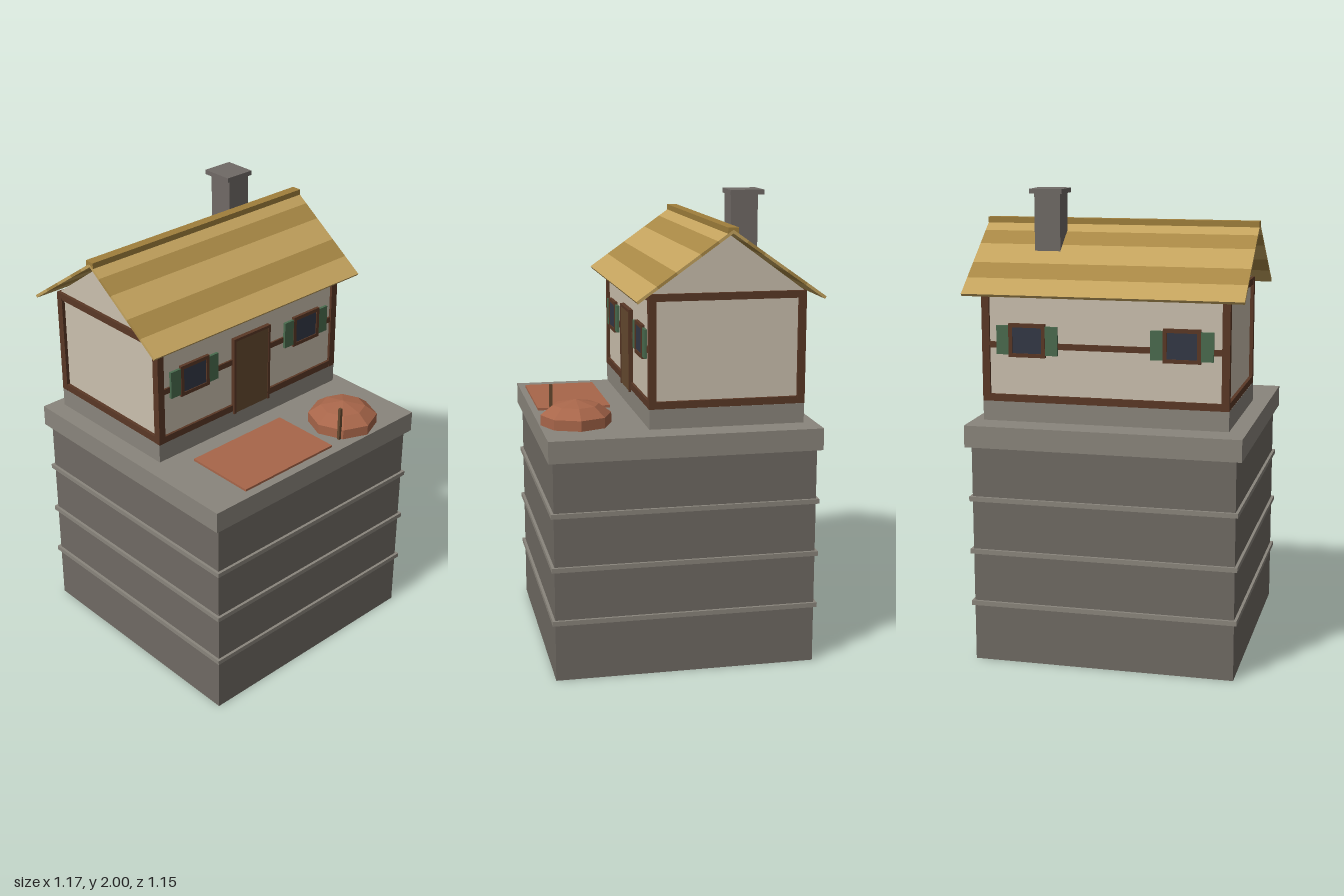
import * as THREE from 'three';

const mat = (color) => new THREE.MeshStandardMaterial({ color, flatShading: true });
const M = {
  stone: mat(0x6f6a63), trim: mat(0x8a857c), plaster: mat(0xcbc0ae), wood: mat(0x5a3826),
  door: mat(0x65492f), glass: mat(0x333846), shutter: mat(0x4a6b4e), straw: mat(0xc4a35e),
  strawDark: mat(0xa88845), ridge: mat(0xa07f3c), clay: mat(0xa8664a), chimney: mat(0x706a66),
};

// Box given by its limits on each axis
function box(parent, name, m, x0, x1, y0, y1, z0, z1) {
  const mesh = new THREE.Mesh(new THREE.BoxGeometry(x1 - x0, y1 - y0, z1 - z0), m);
  mesh.position.set((x0 + x1) / 2, (y0 + y1) / 2, (z0 + z1) / 2);
  mesh.name = name;
  parent.add(mesh);
  return mesh;
}

function group(parent, name) {
  const g = new THREE.Group();
  g.name = name;
  parent.add(g);
  return g;
}

function buildTower(root) {
  const tower = group(root, 'tower');
  box(tower, 'towerBody', M.stone, -0.56, 0.56, 0, 0.94, -0.555, 0.555);
  for (const y of [0.255, 0.485, 0.715])
    box(tower, 'stoneBand', M.trim, -0.572, 0.572, y - 0.01, y + 0.01, -0.567, 0.567);
  box(tower, 'terrace', M.trim, -0.585, 0.585, 0.94, 1.033, -0.575, 0.575);
}

// Window with frame, glass and two shutters, facing +z at the origin
function buildWindow() {
  const w = new THREE.Group();
  w.name = 'window';
  box(w, 'glass', M.glass, -0.065, 0.065, -0.06, 0.06, 0, 0.01);
  for (const s of [-1, 1]) {
    box(w, 'frameRail', M.wood, -0.078, 0.078, s * 0.062 - 0.008, s * 0.062 + 0.008, 0, 0.014);
    box(w, 'frameStile', M.wood, s * 0.07 - 0.008, s * 0.07 + 0.008, -0.07, 0.07, 0, 0.014);
    box(w, 'shutter', M.shutter, s * 0.104 - 0.026, s * 0.104 + 0.026, -0.06, 0.06, 0, 0.012);
  }
  return w;
}

// House is built around its own z = 0, then moved back on the terrace
function buildHouse(root) {
  const house = group(root, 'house');
  house.position.z = -0.178;
  box(house, 'foundation', M.trim, -0.52, 0.52, 1.047, 1.13, -0.328, 0.328);
  box(house, 'walls', M.plaster, -0.505, 0.505, 1.13, 1.6, -0.318, 0.318);

  // Gable prism along x
  const tri = new THREE.Shape([[-0.325, 1.6], [0.325, 1.6], [0, 1.838]].map((p) => new THREE.Vector2(...p)));
  const gable = new THREE.Mesh(new THREE.ExtrudeGeometry(tri, { depth: 1.01, bevelEnabled: false }), M.plaster);
  gable.rotation.y = Math.PI / 2;
  gable.position.x = -0.505;
  gable.name = 'gable';
  house.add(gable);

  // Timber frame
  const rails = [[1.13, 1.16], [1.572, 1.602]];
  for (const s of [-1, 1]) {
    for (const t of [-1, 1])
      box(house, 'cornerPost', M.wood, s * 0.504 - 0.016, s * 0.504 + 0.016, 1.13, 1.602, t * 0.314 - 0.016, t * 0.314 + 0.016);
    for (const [y0, y1] of rails) {
      box(house, 'longBeam', M.wood, -0.49, 0.49, y0, y1, s * 0.314 - 0.015, s * 0.314 + 0.015);
      box(house, 'sideBeam', M.wood, s * 0.504 - 0.015, s * 0.504 + 0.015, y0, y1, -0.3, 0.3);
    }
    box(house, 'middleRail', M.wood, -0.49, 0.49, 1.355, 1.38, s * 0.317 - 0.009, s * 0.317 + 0.009);
  }

  // Windows on both long walls
  for (const side of [-1, 1])
    for (const x of [-0.325, 0.325]) {
      const w = buildWindow();
      w.position.set(x, 1.39, side * 0.324);
      if (side < 0) w.rotation.y = Math.PI;
      house.add(w);
    }

  // Door
  const door = group(house, 'door');
  box(door, 'doorLeaf', M.door, -0.097, 0.097, 1.12, 1.468, 0.31, 0.334);
  for (const s of [-1, 1])
    box(door, 'doorPost', M.wood, s * 0.1 - 0.006, s * 0.1 + 0.006, 1.118, 1.478, 0.31, 0.337);
  box(door, 'doorLintel', M.wood, -0.1, 0.1, 1.466, 1.478, 0.31, 0.337);

  buildRoof(house);

  // Chimney on the back slope
  box(house, 'chimney', M.chimney, 0.225, 0.335, 1.69, 1.982, -0.167, -0.053);
  box(house, 'chimneyCap', M.chimney, 0.21, 0.35, 1.98, 2.0, -0.19, -0.047);
}

// Thatch slopes made of alternating courses, mirrored front to back
function buildRoof(house) {
  const run = 0.393, drop = 0.277, length = Math.hypot(run, drop);
  const cuts = [0, 0.16, 0.34, 0.59, 0.79, 1];
  for (const s of [-1, 1]) {
    const slope = group(house, 'roofSlope');
    slope.position.y = 1.861;
    slope.rotation.y = s > 0 ? 0 : Math.PI;
    const tilt = group(slope, 'thatch');
    tilt.rotation.x = Math.atan2(drop, run);
    for (let i = 0; i < 5; i++)
      box(tilt, 'thatchCourse', i % 2 ? M.strawDark : M.straw, -0.585, 0.585, -0.012, 0, cuts[i] * length, cuts[i + 1] * length);
  }
  box(house, 'ridgeCap', M.ridge, -0.585, 0.585, 1.845, 1.87, -0.022, 0.022);
}

function buildTerraceItems(root) {
  box(root, 'groundMat', M.clay, -0.41, 0.09, 1.05, 1.06, 0.24, 0.555);

  // Eight-sided low dome
  const profile = [[0, 1.034], [0.15, 1.034], [0.15, 1.078], [0.097, 1.118], [0, 1.14]];
  const dome = new THREE.Mesh(new THREE.LatheGeometry(profile.map((p) => new THREE.Vector2(...p)), 8), M.clay);
  dome.position.set(0.297, 0, 0.42);
  dome.name = 'dome';
  root.add(dome);

  box(root, 'post', M.door, 0.176, 0.189, 1.033, 1.183, 0.504, 0.517);
}

export function createModel() {
  const root = new THREE.Group();
  root.name = 'towerHouse';
  buildTower(root);
  buildHouse(root);
  buildTerraceItems(root);
  return root;
}
